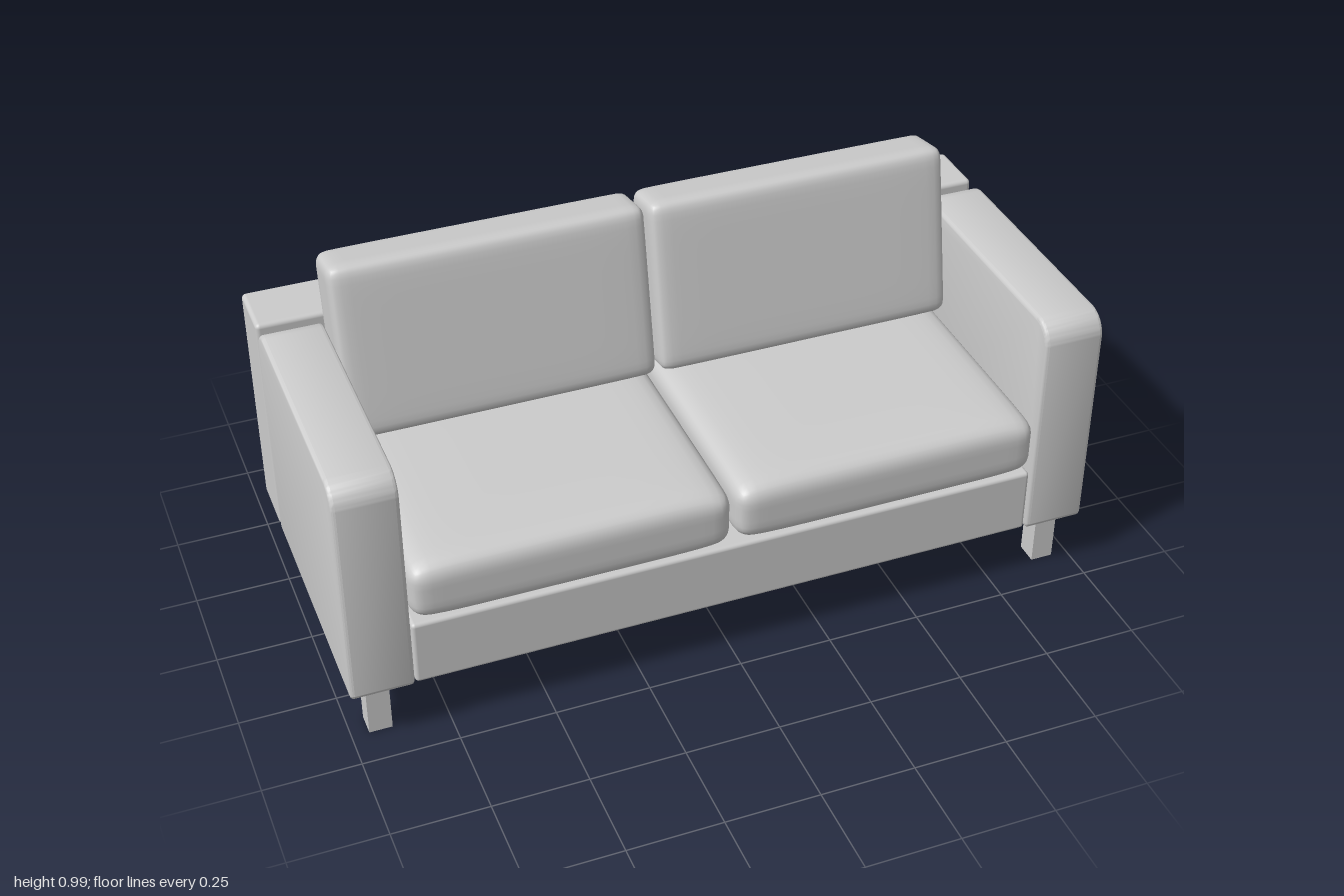
import * as THREE from 'three';
import { mergeVertices, toCreasedNormals } from 'three/addons/utils/BufferGeometryUtils.js';
import { RoundedBoxGeometry } from 'three/addons/geometries/RoundedBoxGeometry.js';

const material = new THREE.MeshStandardMaterial({ color: 0xcccccc });

// Rounded box given by its minimum and maximum corners
function block(x0, x1, y0, y1, z0, z1, radius) {
  const geometry = new RoundedBoxGeometry(x1 - x0, y1 - y0, z1 - z0, 3, radius);
  return geometry.translate((x0 + x1) / 2, (y0 + y1) / 2, (z0 + z1) / 2);
}

// Side panel with large top corners, soft bevelled rim, thickness along x
function armPanel(x0, x1, y0, y1, z0, z1) {
  const b = 0.01, top = 0.055, low = 0.008;
  const l = -z1 + b, r = -z0 - b, d = y0 + b, u = y1 - b;
  const s = new THREE.Shape();
  s.moveTo(l + low, d);
  s.lineTo(r - low, d);
  s.absarc(r - low, d + low, low, -Math.PI / 2, 0);
  s.absarc(r - top, u - top, top, 0, Math.PI / 2);
  s.absarc(l + top, u - top, top, Math.PI / 2, Math.PI);
  s.absarc(l + low, d + low, low, Math.PI, Math.PI * 1.5);
  const geometry = new THREE.ExtrudeGeometry(s, {
    depth: x1 - x0 - 2 * b, bevelThickness: b, bevelSize: b, bevelSegments: 3, curveSegments: 8,
  });
  // Shape x runs towards the back, extrusion runs along +x
  geometry.rotateY(Math.PI / 2).translate(x0 + b, 0, 0);
  return toCreasedNormals(geometry, 0.7);
}

// Soft cushion: rounded box whose thin axis narrows towards the rim
function cushion(w, h, d, radius, narrowing) {
  const geometry = new THREE.BoxGeometry(2, 2, 2, 24, 12, 24);
  geometry.deleteAttribute('uv');
  geometry.deleteAttribute('normal');
  const half = new THREE.Vector3(w / 2, h / 2, d / 2);
  const core = half.clone().subScalar(radius);
  const p = new THREE.Vector3(), q = new THREE.Vector3();
  const spread = (t) => Math.sin(t * Math.PI / 2);
  const pos = geometry.attributes.position;
  for (let i = 0; i < pos.count; i++) {
    p.fromBufferAttribute(pos, i);
    p.set(spread(p.x), spread(p.y), spread(p.z)).multiply(half);
    q.copy(p).clamp(core.clone().negate(), core);
    p.sub(q).setLength(radius).add(q);
    const u = Math.abs(p.x) / half.x, v = Math.abs(p.z) / half.z;
    p.y *= (1 - narrowing * u ** 8) * (1 - narrowing * v ** 8);
    pos.setXYZ(i, p.x, p.y, p.z);
  }
  const smooth = mergeVertices(geometry, 1e-5);
  smooth.computeVertexNormals();
  return smooth;
}

export function createModel() {
  const sofa = new THREE.Group();
  sofa.name = 'sofa';
  const add = (name, geometry) => {
    const mesh = new THREE.Mesh(geometry, material);
    mesh.name = name;
    sofa.add(mesh);
    return mesh;
  };

  // Frame
  add('seatBase', block(-0.835, 0.835, 0.157, 0.34, -0.283, 0.438, 0.01));
  add('backPanel', block(-1, 1, 0.155, 0.79, -0.455, -0.289, 0.012));

  for (const side of [1, -1]) {
    const label = side > 0 ? 'left' : 'right';
    const [x0, x1] = side > 0 ? [0.838, 1] : [-1, -0.838];
    add(label + 'Arm', armPanel(x0, x1, 0.155, 0.795, -0.283, 0.446));

    // Cushions
    add(label + 'SeatCushion', cushion(0.828, 0.185, 0.735, 0.045, 0.16))
      .position.set(side * 0.42, 0.432, 0.0875);
    const back = add(label + 'BackCushion', cushion(0.828, 0.166, 0.472, 0.03, 0.06));
    back.position.set(side * 0.42, 0.75, -0.188);
    back.rotation.x = Math.PI / 2 - 0.19;

    // Square legs
    for (const [end, z] of [['Front', 0.37], ['Back', -0.379]]) {
      add(label + end + 'Leg', new THREE.BoxGeometry(0.06, 0.165, 0.06))
        .position.set(side * 0.925, 0.0825, z);
    }
  }
  return sofa;
}
